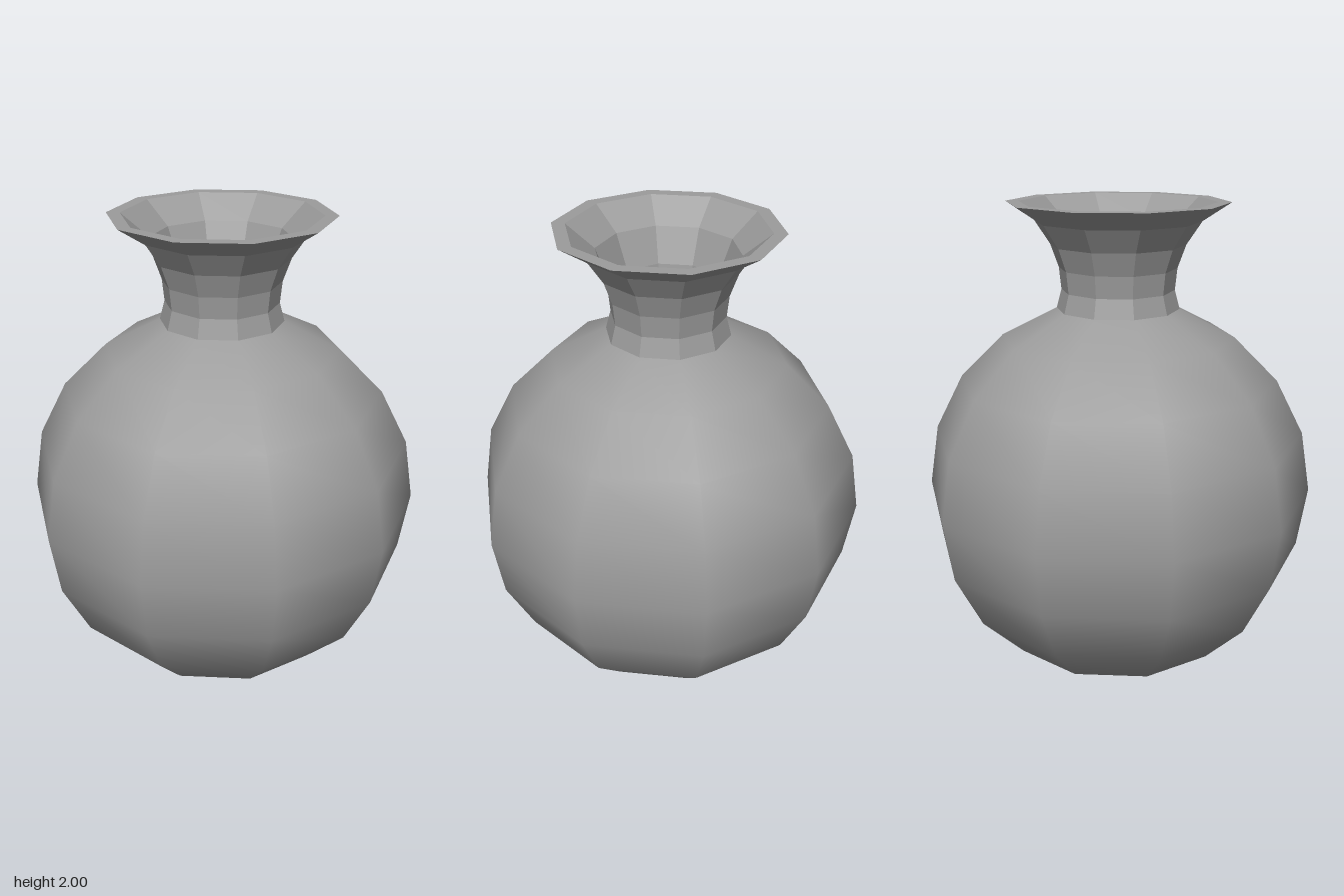
import * as THREE from 'three';

const SIDES = 10;
const RADIUS = 0.87, CENTRE = 0.715, WALL = 0.05;

// Decagonal surface of revolution from [radius, height] pairs
function turned(name, profile, flatShading) {
  const points = profile.map(([r, y]) => new THREE.Vector2(r, y));
  const material = new THREE.MeshStandardMaterial({ color: 0x9c9c9c, flatShading });
  const mesh = new THREE.Mesh(new THREE.LatheGeometry(points, SIDES), material);
  mesh.name = name;
  return mesh;
}

// Rings of a sphere every 18 degrees, from the foot to the neck opening
function bodyRings(radius) {
  const rings = [];
  for (let deg = -54; deg <= 72; deg += 18) {
    const a = THREE.MathUtils.degToRad(deg);
    rings.push([radius * Math.cos(a), CENTRE + radius * Math.sin(a)]);
  }
  return rings;
}

export function createModel() {
  const vase = new THREE.Group();
  vase.name = 'vase';

  // Round body on an almost flat foot
  const outer = [[0, 0], [0.27, 0.004], ...bodyRings(RADIUS)];
  vase.add(turned('body', outer, false));

  // Hollow inside, running down from the neck to a flat floor
  const neckBase = [0.235, 1.53];
  const inner = bodyRings(RADIUS - WALL).slice(0, -1).reverse();
  vase.add(turned('bodyInside', [neckBase, ...inner, [0.27, 0.05], [0, 0.05]], false));

  // Faceted flared neck: up the outside, over the rim, down the inside
  vase.add(turned('neck', [
    [0.269, 1.542], [0.247, 1.625], [0.257, 1.72], [0.293, 1.82], [0.36, 1.92], [0.483, 2],
    [0.425, 2], [0.305, 1.9], [0.243, 1.75], [0.222, 1.625], neckBase,
  ], true));

  return vase;
}
